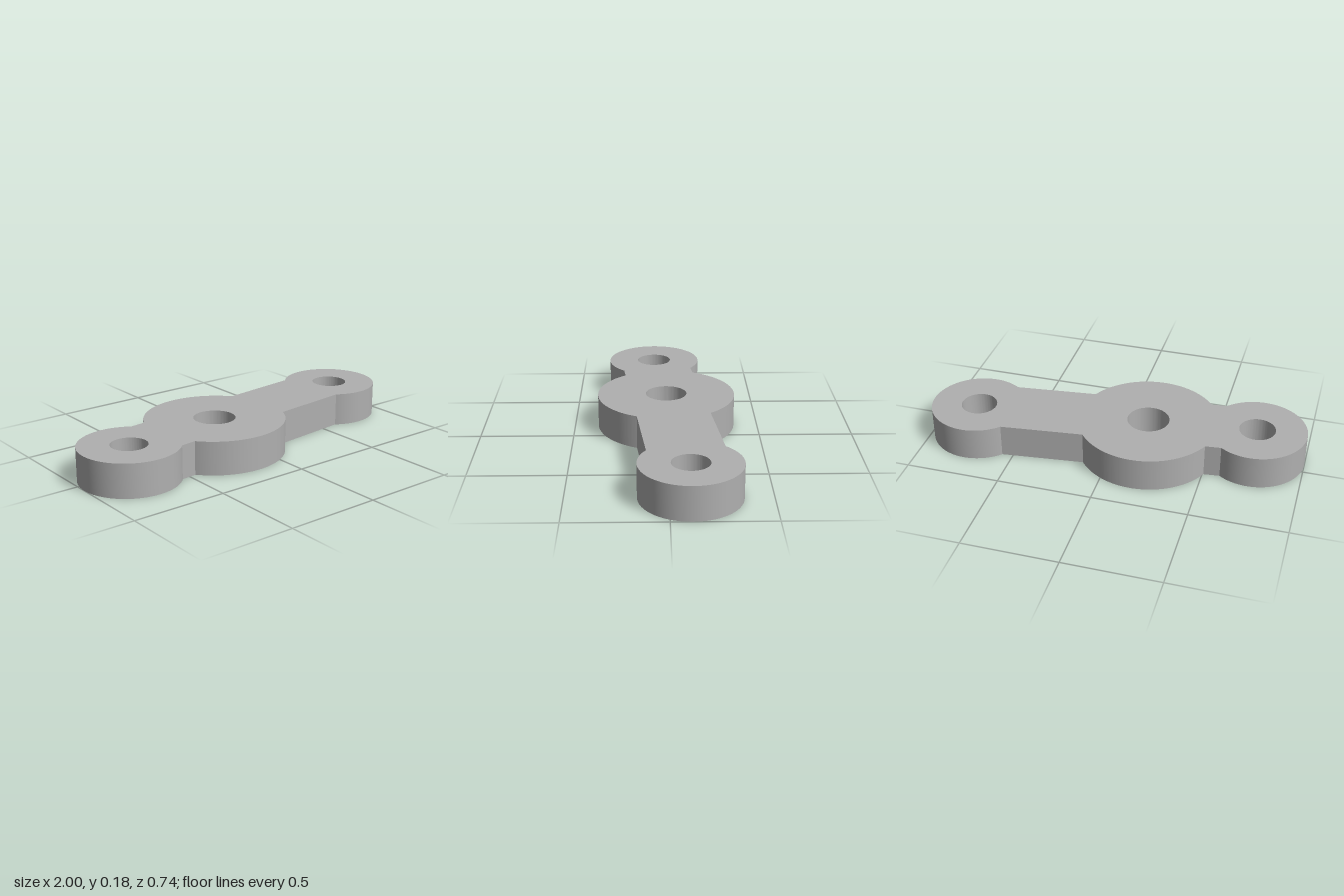
import * as THREE from 'three';
import { toCreasedNormals } from 'three/addons/utils/BufferGeometryUtils.js';

const THICKNESS = 0.178;
const HALF_BAR = 0.194;   // half width of the connecting bar
const TILT = 0.111;       // angle of the bar in plan

// Round bosses along the bar axis, measured from the hub
const leftEye = { u: -0.5735, r: 0.26, hole: 0.095 };
const hub = { u: 0, r: 0.372, hole: 0.111 };
const rightEye = { u: 0.92, r: 0.255, hole: 0.095 };

export function createModel() {
  const steel = new THREE.MeshStandardMaterial({ color: 0xb0b0b0 });
  steel.name = 'grey steel';

  // Outline: boss arcs joined by the straight edges of the bar
  const shape = new THREE.Shape();
  const meet = (boss) => Math.asin(HALF_BAR / boss.r);
  const arc = (boss, from, to) => shape.absarc(boss.u, 0, boss.r, from, to, false);
  const [l, m, r] = [leftEye, hub, rightEye].map(meet);
  arc(rightEye, r - Math.PI, Math.PI - r);
  arc(hub, m, Math.PI - m);
  arc(leftEye, l, 2 * Math.PI - l);
  arc(hub, Math.PI + m, 2 * Math.PI - m);
  shape.closePath();

  // Bolt holes
  for (const boss of [leftEye, hub, rightEye]) {
    shape.holes.push(new THREE.Path().absarc(boss.u, 0, boss.hole, 0, Math.PI * 2, true));
  }

  let geometry = new THREE.ExtrudeGeometry(shape, {
    depth: THICKNESS, bevelEnabled: false, curveSegments: 48,
  });
  geometry.rotateX(-Math.PI / 2);
  geometry.rotateY(TILT);
  geometry.translate(-0.17, 0, 0);
  geometry = toCreasedNormals(geometry, 0.4);

  const link = new THREE.Mesh(geometry, steel);
  link.name = 'linkPlate';
  const group = new THREE.Group();
  group.name = 'leverLink';
  group.add(link);
  return group;
}
